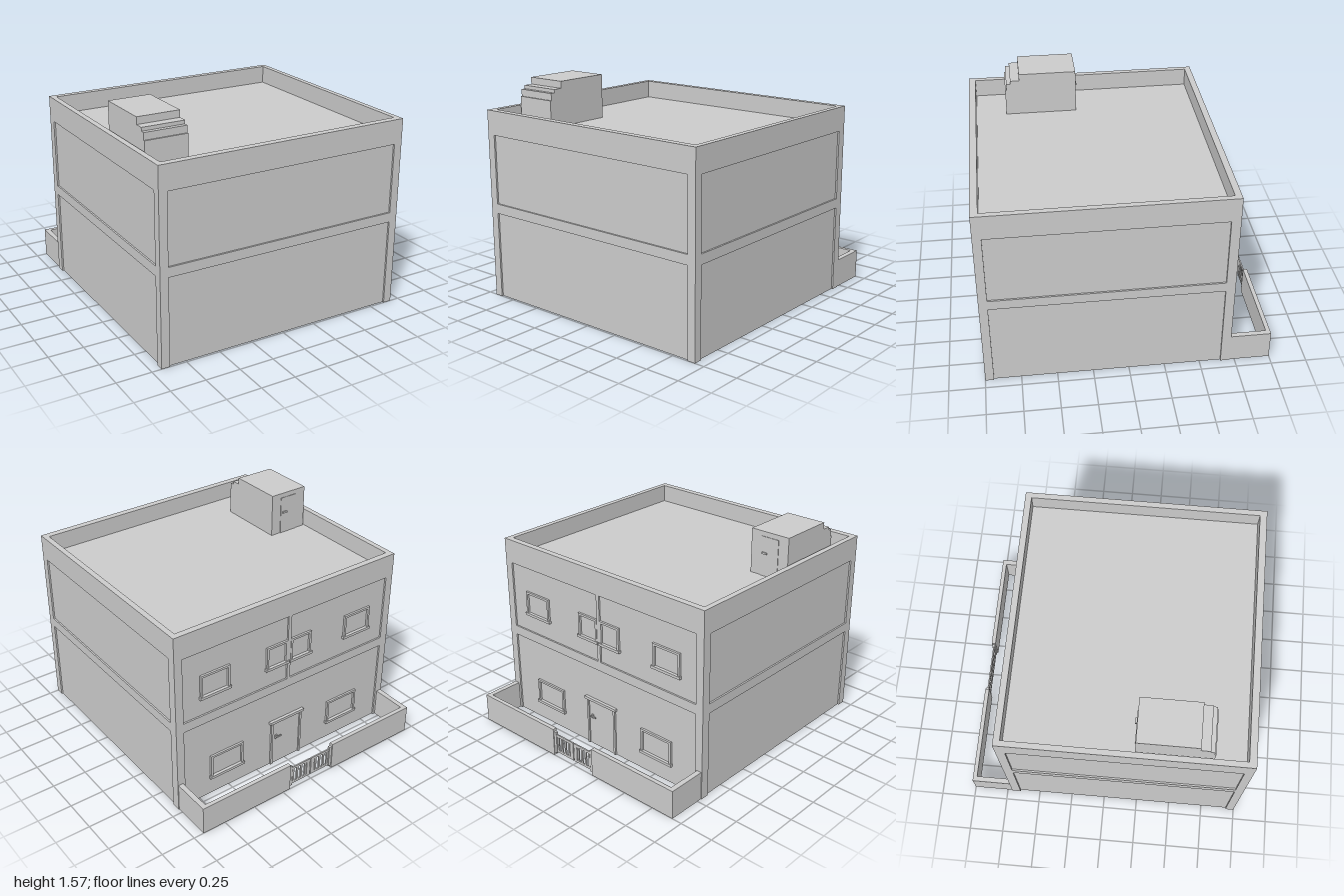
import * as THREE from 'three';

const material = new THREE.MeshStandardMaterial({ color: 0xcccccc });
const TOP = 1.375, ROOF = 1.245;
const X = 0.93, BACK = -0.715, FRONT = 1.0; // outer wall faces
const D = 0.012; // panel recess
const coreBack = BACK + D;

function add(parent, name, geometry) {
  const mesh = new THREE.Mesh(geometry, material);
  mesh.name = name;
  parent.add(mesh);
  return mesh;
}

// Box given by its limits on each axis
function box(parent, name, x0, x1, y0, y1, z0, z1) {
  const g = new THREE.BoxGeometry(x1 - x0, y1 - y0, z1 - z0);
  g.translate((x0 + x1) / 2, (y0 + y1) / 2, (z0 + z1) / 2);
  return add(parent, name, g);
}

function polygon(points, Type = THREE.Shape) {
  return new Type(points.map(([x, y]) => new THREE.Vector2(x, y)));
}

function rect(x0, x1, y0, y1, Type) {
  return polygon([[x0, y0], [x1, y0], [x1, y1], [x0, y1]], Type);
}

function extrude(shape, depth) {
  return new THREE.ExtrudeGeometry(shape, { depth, bevelEnabled: false });
}

// Wall facing with an open ground-floor panel and upper panels cut out
function facing(a, b, p, q, upper) {
  const shape = polygon([[a, 0], [p, 0], [p, 0.63], [q, 0.63], [q, 0], [b, 0], [b, TOP], [a, TOP]]);
  for (const [u, v] of upper) shape.holes.push(rect(u, v, 0.7, 1.2, THREE.Path));
  return extrude(shape, D);
}

function buildWalls(house) {
  box(house, 'core', -X + D, X - D, 0, ROOF, coreBack, FRONT - D);
  add(house, 'frontFacing', facing(-X, X, -0.87, 0.87, [[-0.87, 0.87]])).position.z = FRONT - D;
  add(house, 'backFacing', facing(-X, X, -0.87, 0.87, [[-0.87, -0.013], [0.013, 0.87]])).position.z = BACK;
  for (const [name, x] of [['leftFacing', X], ['rightFacing', -X + D]]) {
    const g = facing(coreBack, FRONT - D, -0.65, 0.94, [[-0.65, 0.94]]);
    add(house, name, g.rotateY(-Math.PI / 2)).position.x = x;
  }
  // Parapet ring around the sunken roof
  const ring = rect(-X + D, X - D, -FRONT + D, -coreBack);
  ring.holes.push(rect(-0.89, 0.89, -0.95, 0.67, THREE.Path));
  add(house, 'parapet', extrude(ring, TOP - ROOF).rotateX(-Math.PI / 2)).position.y = ROOF;
}

// Framed window with a projecting sill on the back wall
function buildWindow(house, x0, x1, y0, y1) {
  const group = new THREE.Group();
  group.name = 'window';
  house.add(group);
  const frame = rect(x0 + 0.008, x1 - 0.008, y0, y1);
  frame.holes.push(rect(x0 + 0.024, x1 - 0.024, y0 + 0.02, y1 - 0.016, THREE.Path));
  add(group, 'windowFrame', extrude(frame, 0.015)).position.z = coreBack - 0.015;
  box(group, 'windowSill', x0, x1, y0, y0 + 0.02, BACK - 0.01, coreBack);
}

function buildFrontDoor(house) {
  const door = new THREE.Group();
  door.name = 'entranceDoor';
  house.add(door);
  for (const s of [-1, 1]) box(door, 'doorJamb', s * 0.128 - 0.008, s * 0.128 + 0.008, 0, 0.36, BACK - 0.002, coreBack);
  box(door, 'doorLintel', -0.15, 0.15, 0.36, 0.38, BACK - 0.01, coreBack);
  box(door, 'doorLeaf', -0.12, 0.12, 0, 0.36, coreBack - 0.004, coreBack);
  box(door, 'doorHandlePlate', 0.08, 0.098, 0.215, 0.245, coreBack - 0.012, coreBack);
  box(door, 'doorHandle', 0.05, 0.098, 0.225, 0.235, coreBack - 0.02, coreBack - 0.012);
}

// Stairwell hut on the roof with a stepped front
function buildHut(house) {
  const hut = new THREE.Group();
  hut.name = 'roofHut';
  house.add(hut);
  const side = polygon([[0.21, ROOF], [0.73, ROOF], [0.73, 1.44], [0.72, 1.44], [0.72, 1.49],
    [0.69, 1.49], [0.69, 1.515], [0.625, 1.515], [0.625, 1.565], [0.21, 1.565]]);
  add(hut, 'hutBody', extrude(side, 0.305).rotateY(-Math.PI / 2)).position.x = -0.575;
  box(hut, 'hutDoor', -0.8, -0.655, ROOF, 1.53, 0.206, 0.21);
  box(hut, 'hutDoorHandle', -0.71, -0.67, 1.405, 1.418, 0.196, 0.206);
}

// Low yard wall with a barred double gate
function buildYard(house) {
  const yard = new THREE.Group();
  yard.name = 'yard';
  house.add(yard);
  for (const s of [-1, 1]) {
    const span = (a, b) => (s > 0 ? [a, b] : [-b, -a]);
    box(yard, 'yardSideWall', ...span(0.888, 0.925), 0, 0.21, -0.97, BACK);
    box(yard, 'yardBackWall', ...span(0.19, 0.925), 0, 0.21, -1, -0.97);
    box(yard, 'gateHinge', ...span(0.168, 0.19), 0.02, 0.19, -0.994, -0.976);
    for (const y of [0.03, 0.155]) box(yard, 'gateRail', ...span(0.004, 0.168), y, y + 0.018, -0.99, -0.98);
    for (let i = 0; i < 5; i++) {
      const x = 0.004 + i * 0.036;
      box(yard, 'gateBar', ...span(x, x + (i ? 0.014 : 0.03)), 0.03, 0.173, -0.99, -0.98);
    }
  }
}

export function createModel() {
  const house = new THREE.Group();
  house.name = 'house';
  buildWalls(house);
  for (const [a, b] of [[-0.74, -0.49], [-0.2, -0.005], [0.005, 0.2], [0.49, 0.74]]) buildWindow(house, a, b, 0.832, 1.015);
  for (const [a, b] of [[-0.665, -0.375], [0.375, 0.665]]) buildWindow(house, a, b, 0.135, 0.325);
  buildFrontDoor(house);
  buildHut(house);
  buildYard(house);
  return house;
}
